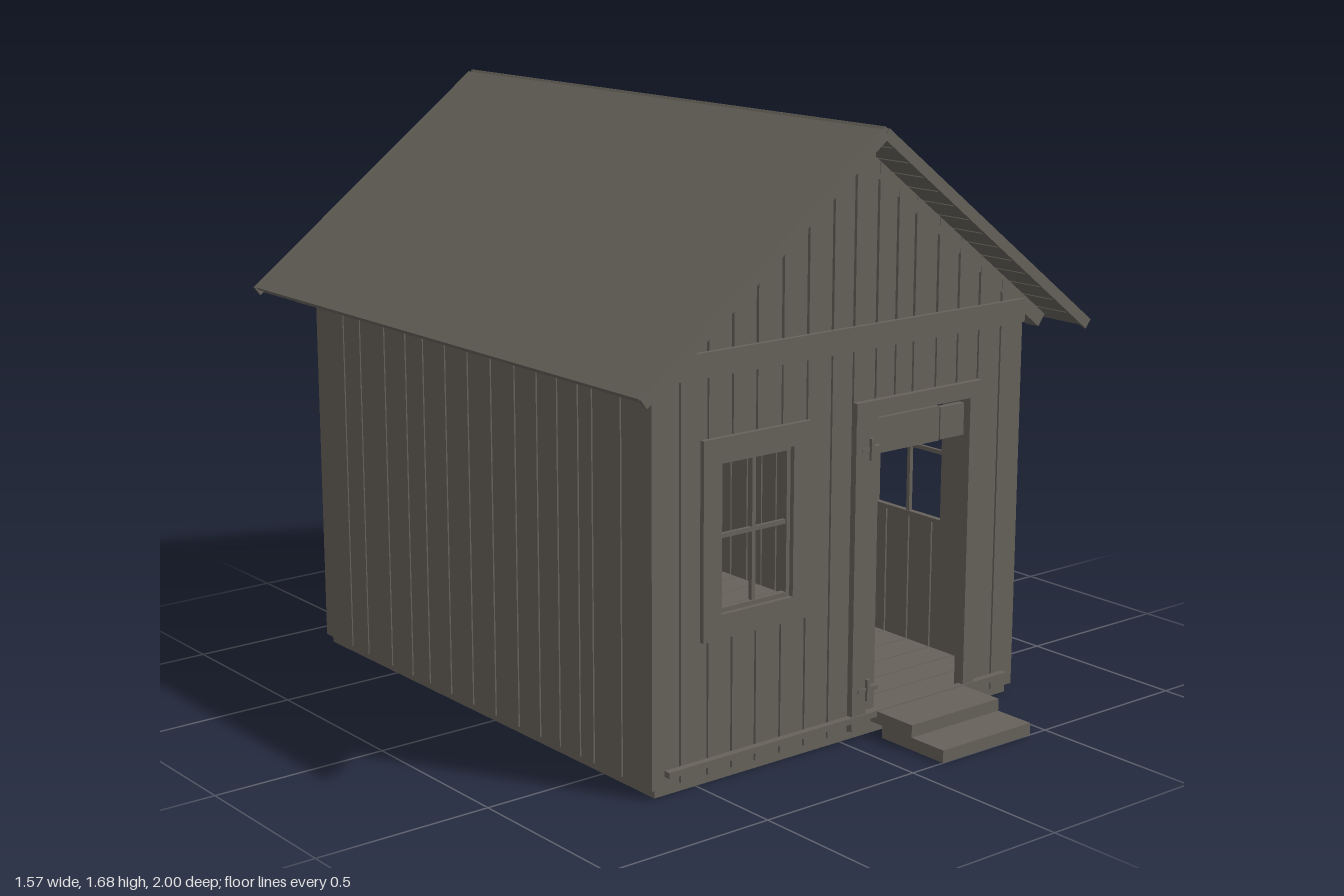
import * as THREE from 'three';

const W = 0.65, ZF = 0.725, ZB = -0.87, T = 0.018;      // half width, front, back, plank thickness
const APEX = 1.68, SLOPE = 0.756, ANGLE = Math.atan(SLOPE);
const EAVE = 0.78, ROOF_F = 0.85, ROOF_B = -0.995;

export function createModel() {
  const model = new THREE.Group();
  model.name = 'woodenCabin';
  const wood = new THREE.MeshStandardMaterial({ color: 0x66625b });
  wood.name = 'weatheredWood';

  const add = (geo, name, parent = model) => {
    const m = new THREE.Mesh(geo, wood);
    m.name = name;
    parent.add(m);
    return m;
  };
  // Box given by its two extreme corners
  const box = (name, x0, x1, y0, y1, z0, z1, parent = model) => {
    const m = add(new THREE.BoxGeometry(x1 - x0, y1 - y0, z1 - z0), name, parent);
    m.position.set((x0 + x1) / 2, (y0 + y1) / 2, (z0 + z1) / 2);
    return m;
  };
  // Flat polygon extruded along local +z
  const slab = (name, pts, depth, parent) => {
    const shape = new THREE.Shape(pts.map(p => new THREE.Vector2(p[0], p[1])));
    return add(new THREE.ExtrudeGeometry(shape, { depth, bevelEnabled: false }), name, parent);
  };
  const group = (name, x, z, turn) => {
    const g = new THREE.Group();
    g.name = name;
    g.position.set(x, 0, z);
    g.rotation.y = turn;
    model.add(g);
    return g;
  };

  // Upright planks between the given edges, cut around openings [u0, u1, v0, v1]
  function planks(parent, edges, bottom, top, openings = [], gap = 0.006) {
    const cuts = [0, ...openings.flatMap(o => [o[0], o[1]])];
    for (let i = 0; i < edges.length - 1; i++) {
      const a = edges[i] + (i ? gap / 2 : 0);
      const b = edges[i + 1] - (i < edges.length - 2 ? gap / 2 : 0);
      const us = [a, ...cuts.filter(c => c > a && c < b), b].sort((p, q) => p - q);
      for (let k = 0; k < us.length - 1; k++) {
        const [u0, u1] = [us[k], us[k + 1]], mid = (u0 + u1) / 2;
        const piece = (lo, t0, t1) =>
          slab('plank', [[u0, lo], [u1, lo], [u1, t1], [u0, t0]], T, parent);
        const hole = openings.find(o => mid > o[0] && mid < o[1]);
        if (hole) {
          if (hole[2] > bottom) piece(bottom, hole[2], hole[2]);
          piece(hole[3], top(u0), top(u1));
        } else piece(bottom, top(u0), top(u1));
      }
    }
  }

  // Mitred frame with sash and glazing bars around an opening
  function windowFrame(parent, [u0, u1, v0, v1], [U0, U1, V0, V1]) {
    const g = new THREE.Group();
    g.name = 'window';
    parent.add(g);
    const inn = [[u0, v0], [u1, v0], [u1, v1], [u0, v1]];
    const out = [[U0, V0], [U1, V0], [U1, V1], [U0, V1]];
    for (let i = 0; i < 4; i++) {
      const j = (i + 1) % 4;
      slab('windowTrim', [out[i], out[j], inn[j], inn[i]], 0.014, g).position.z = T;
    }
    const s = 0.012, um = (u0 + u1) / 2, vm = (v0 + v1) / 2;
    box('sashSide', u0, u0 + s, v0, v1, 0, T, g);
    box('sashSide', u1 - s, u1, v0, v1, 0, T, g);
    box('sashBottom', u0, u1, v0, v0 + s, 0, T, g);
    box('sashTop', u0, u1, v1 - s, v1, 0, T, g);
    box('uprightBar', um - 0.006, um + 0.006, v0, v1, 0.003, T - 0.003, g);
    box('crossBar', u0, u1, vm - 0.006, vm + 0.006, 0.004, T - 0.004, g);
  }

  const roofUnder = x => APEX - 0.035 - SLOPE * Math.abs(x);
  const wallTop = () => 1.13;

  // Front wall with window and doorway
  const front = group('frontWall', 0, ZF - T, 0);
  const frontEdges = [-W, -0.56, -0.47, -0.39, -0.31, -0.225, -0.14, -0.055, 0.02, 0.1,
    0.17, 0.235, 0.32, 0.4, 0.48, 0.565, W];
  const frontWin = [-0.435, -0.195, 0.455, 0.86], door = [0.07, 0.44, 0.025, 0.895];
  planks(front, frontEdges, 0.025, wallTop, [frontWin, door]);
  windowFrame(front, frontWin, [-0.495, -0.135, 0.39, 0.92]);
  planks(front, frontEdges, 1.13, roofUnder, [], 0.008);
  box('tieBoard', -0.645, 0.645, 1.08, 1.145, T, T + 0.014, front);
  box('baseRail', -0.61, 0.61, 0.055, 0.072, T, T + 0.02, front);

  // Doorway trim and remains of the door
  box('doorTrimLeft', 0.44, 0.48, 0.03, 0.895, T, T + 0.016, front);
  box('doorTrimRight', 0.02, 0.07, 0.03, 0.895, T, T + 0.016, front);
  box('doorHeader', 0.02, 0.48, 0.895, 0.94, T, T + 0.018, front);
  box('doorStile', 0.075, 0.115, 0.075, 0.89, 0, T, front);
  box('doorTopBoard', 0.115, 0.338, 0.788, 0.885, 0, T, front);
  box('doorTopBoard', 0.342, 0.432, 0.79, 0.88, 0, T, front);
  for (const y of [0.14, 0.81]) {
    box('hingePin', 0.067, 0.078, y - 0.03, y + 0.03, T, T + 0.025, front);
    box('hingeStrap', 0.04, 0.11, y - 0.006, y + 0.006, T, T + 0.019, front);
  }

  // Back wall
  const back = group('backWall', 0, ZB + T, Math.PI);
  const backEdges = [-W, -0.56, -0.45, -0.34, -0.23, -0.1, 0.055, 0.14, 0.225, 0.36, 0.48, 0.56, W];
  planks(back, backEdges, 0.025, wallTop);
  planks(back, backEdges, 1.13, roofUnder, [], 0.008);
  box('tieBoard', -0.645, 0.645, 1.08, 1.145, T, T + 0.014, back);

  // Side walls: local u runs along -z on the +x side and along +z on the -x side
  const sideF = ZF - T, sideB = ZB + T;
  const left = group('leftWall', W - T, 0, Math.PI / 2);
  const zLines = [0.64, 0.56, 0.41, 0.315, 0.22, 0.12, 0.07, -0.01, -0.1, -0.2, -0.28, -0.35,
    -0.42, -0.5, -0.56, -0.64, -0.72, -0.8];
  const sideWin = [-0.455, -0.155, 0.435, 0.86];
  planks(left, [-sideF, ...zLines.map(z => -z), -sideB], 0.025, wallTop, [sideWin]);
  windowFrame(left, sideWin, [-0.505, -0.108, 0.39, 0.92]);
  const right = group('rightWall', -W + T, 0, -Math.PI / 2);
  planks(right, [sideB, -0.72, -0.63, -0.5, -0.39, -0.3, -0.19, -0.08, 0.03, 0.14, 0.24, 0.33,
    0.42, 0.48, 0.6, sideF], 0.025, wallTop);

  // Sill ring and floor boards
  for (const s of [-1, 1]) box('sideSill', s * 0.617 - 0.018, s * 0.617 + 0.018, 0, 0.04, -0.86, 0.715);
  box('frontSill', -0.6, 0.6, 0, 0.04, 0.68, 0.715);
  box('backSill', -0.6, 0.6, 0, 0.04, -0.86, -0.825);
  const n = 16, fw = (sideF - sideB) / n;
  for (let i = 0; i < n; i++) {
    box('floorBoard', -0.63, 0.63, 0.04, 0.055, sideB + i * fw + 0.0015, sideB + (i + 1) * fw - 0.0015);
  }

  // Roof: each half is drawn in a tilted frame running from the ridge down to the eave
  const len = EAVE / Math.cos(ANGLE);
  for (const s of [1, -1]) {
    const half = new THREE.Group();
    half.name = s > 0 ? 'leftRoof' : 'rightRoof';
    half.position.y = APEX;
    half.rotation.z = -s * ANGLE;
    model.add(half);
    const along = (name, d0, d1, y0, y1, z0, z1) =>
      box(name, Math.min(s * d0, s * d1), Math.max(s * d0, s * d1), y0, y1, z0, z1, half);
    along('roofSheet', 0, len, -0.012, -0.003, ROOF_B, ROOF_F);
    const rows = 14, step = len / rows;
    for (let i = 0; i < rows; i++) {
      along('sheathingBoard', Math.max(i * step, 0.02), (i + 1) * step - 0.006, -0.026, -0.012, ROOF_B + 0.012, ROOF_F - 0.012);
    }
    for (const z of [ROOF_B, ROOF_F]) along('vergeBoard', 0.012, len + 0.004, -0.03, 0, z - 0.005, z + 0.005);
    for (const z of [0.7, 0.37, 0.06, -0.25, -0.55, -0.84]) {
      along('rafter', 0.04, len - 0.03, -0.066, -0.026, z - 0.024, z + 0.024);
    }
    // Wall plate under the rafters
    box('wallPlate', s * 0.607 - 0.024, s * 0.607 + 0.024, 1.07, 1.12, sideB, sideF);
  }
  box('ridgeBeam', -0.015, 0.015, 1.595, 1.65, ROOF_B + 0.05, ROOF_F - 0.05);

  // Door steps
  box('lowerStep', 0.11, 0.44, 0, 0.035, 0.765, 1);
  box('upperStep', 0.11, 0.44, 0.035, 0.07, 0.72, 0.88);

  return model;
}
